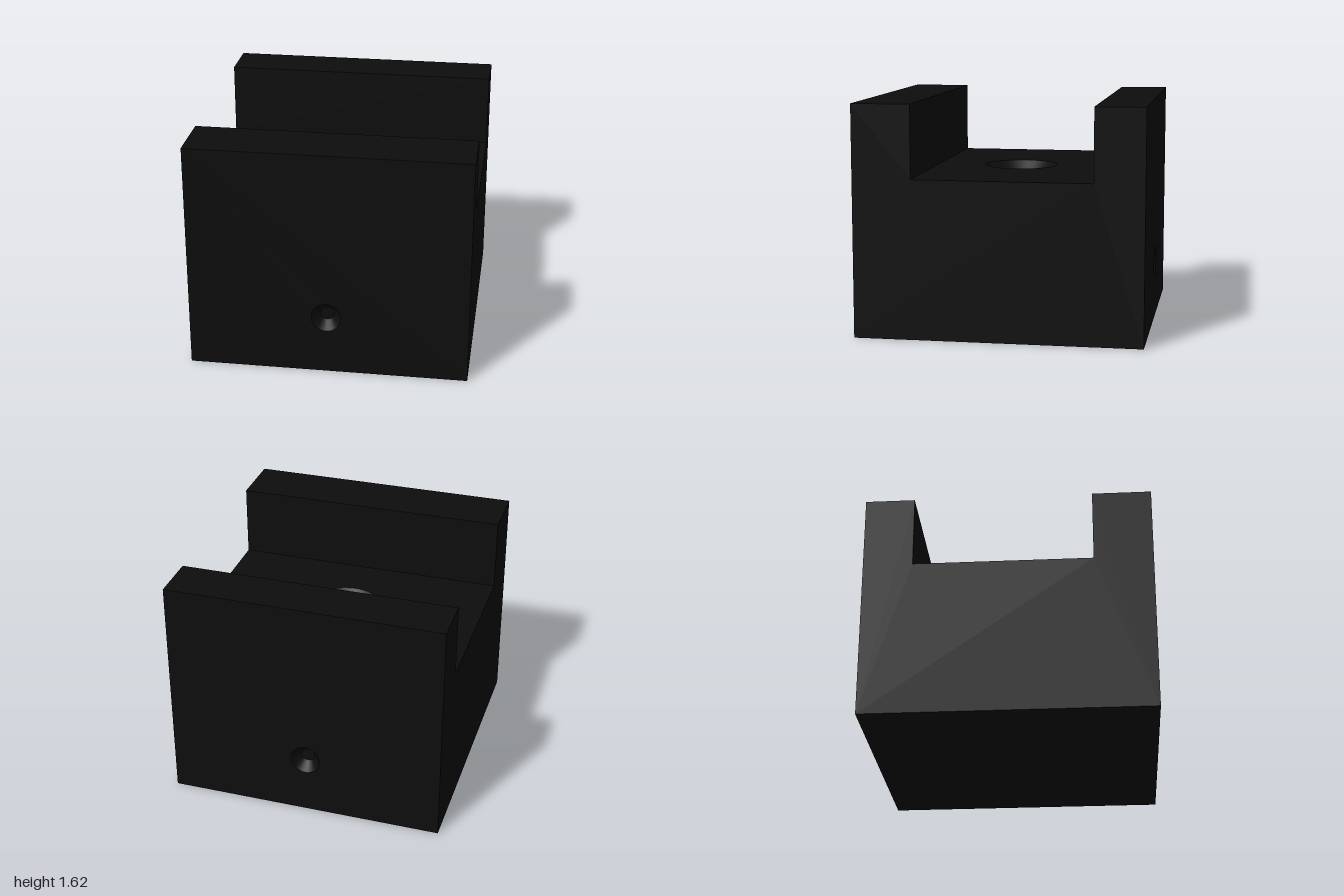
import * as THREE from 'three';
import { toCreasedNormals } from 'three/addons/utils/BufferGeometryUtils.js';

const W = 0.973;                 // half width in x
const H = 1.62, FLOOR = 1.11;    // overall height, channel floor height
const ZF = 0.59, ZB = -0.655;    // channel walls

export function createModel() {
  const group = new THREE.Group();
  const material = new THREE.MeshStandardMaterial({ color: 0x0d0d0d });

  const add = (name, geometry, parent = group) => {
    const mesh = new THREE.Mesh(geometry, material);
    mesh.name = name;
    parent.add(mesh);
    return mesh;
  };

  // Flat panel facing +z locally, with an optional round opening at its origin offset
  const panel = (name, w, h, pos, rot, hole) => {
    const shape = new THREE.Shape();
    shape.moveTo(-w / 2, -h / 2).lineTo(w / 2, -h / 2).lineTo(w / 2, h / 2).lineTo(-w / 2, h / 2);
    const holder = new THREE.Group();
    holder.name = name;
    if (hole) {
      const cut = new THREE.Path();
      cut.absarc(hole.x, hole.y, hole.r, 0, Math.PI * 2, true);
      shape.holes.push(cut);
      // Tapered recess with a flat bottom
      const profile = [[hole.r, 0], [hole.inner, -hole.depth], [0, -hole.depth]]
        .map(([x, y]) => new THREE.Vector2(x, y));
      const recess = add(name + 'Recess',
        toCreasedNormals(new THREE.LatheGeometry(profile, 48), 0.5), holder);
      recess.rotation.x = Math.PI / 2;
      recess.position.set(hole.x, hole.y, 0);
    }
    add(name + 'Surface', new THREE.ShapeGeometry(shape, 24), holder);
    holder.position.set(...pos);
    holder.rotation.set(...rot);
    group.add(holder);
  };

  const up = [-Math.PI / 2, 0, 0], front = [0, 0, 0], back = [0, Math.PI, 0];
  const socket = { y: 0.42 - H / 2, r: 0.104, inner: 0.047, depth: 0.07 };

  // Front and back faces, each with a small socket
  panel('frontFace', 2 * W, H, [0, H / 2, 1], front, { x: -0.01, ...socket });
  panel('backFace', 2 * W, H, [0, H / 2, -1], back, { x: 0.01, ...socket });

  // Channel floor with its large dished recess, and the two channel walls
  const mid = (ZF + ZB) / 2;
  panel('channelFloor', 2 * W, ZF - ZB, [0, FLOOR, mid], up,
    { x: 0, y: mid + 0.01, r: 0.263, inner: 0.12, depth: 0.15 });
  panel('frontChannelWall', 2 * W, H - FLOOR, [0, (H + FLOOR) / 2, ZF], back);
  panel('backChannelWall', 2 * W, H - FLOOR, [0, (H + FLOOR) / 2, ZB], front);

  // Tops of the two rails and the underside
  panel('frontRailTop', 2 * W, 1 - ZF, [0, H, (1 + ZF) / 2], up);
  panel('backRailTop', 2 * W, 1 + ZB, [0, H, (ZB - 1) / 2], up);
  panel('underside', 2 * W, 2, [0, 0, 0], [Math.PI / 2, 0, 0]);

  // U-shaped ends
  for (const side of [1, -1]) {
    const outline = [[-1, 0], [1, 0], [1, H], [ZF, H], [ZF, FLOOR], [ZB, FLOOR], [ZB, H], [-1, H]]
      .map(([z, y]) => new THREE.Vector2(-side * z, y));
    const end = add(side > 0 ? 'leftEnd' : 'rightEnd', new THREE.ShapeGeometry(new THREE.Shape(outline)));
    end.rotation.y = side * Math.PI / 2;
    end.position.x = side * W;
  }
  return group;
}
